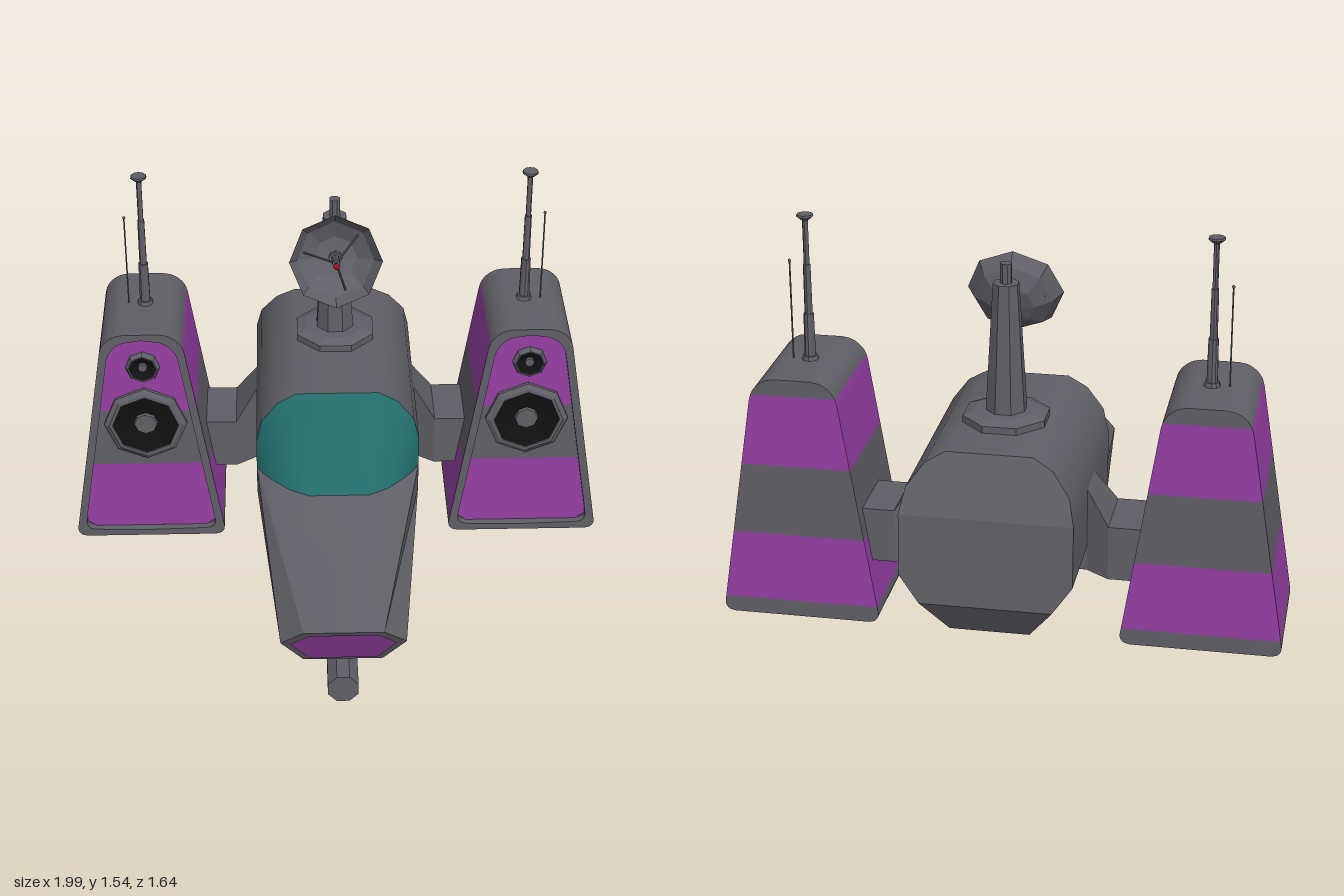
import * as THREE from 'three';
import { toCreasedNormals } from 'three/addons/utils/BufferGeometryUtils.js';

const paint = (color, extra = {}) => new THREE.MeshStandardMaterial({ color, ...extra });
const grey = paint(0x5f5f67);
const greyFlat = paint(0x5f5f67, { flatShading: true, side: THREE.DoubleSide });
const purple = paint(0x963fa4);
const teal = paint(0x226f6d);
const black = paint(0x111111, { flatShading: true, side: THREE.DoubleSide });
const red = paint(0xa01020);

function add(parent, name, geometry, material, x = 0, y = 0, z = 0) {
  const mesh = new THREE.Mesh(geometry, material);
  mesh.name = name;
  mesh.position.set(x, y, z);
  parent.add(mesh);
  return mesh;
}

// Surface through rows of [x, y, z] points
function patch(rows, crease = 0.6) {
  const n = rows[0].length, index = [];
  for (let i = 0; i < rows.length - 1; i++)
    for (let j = 0; j < n - 1; j++) {
      const a = i * n + j, d = a + n;
      index.push(a, a + 1, d + 1, a, d + 1, d);
    }
  const g = new THREE.BufferGeometry();
  g.setAttribute('position', new THREE.Float32BufferAttribute(rows.flat(2), 3));
  g.setIndex(index);
  return toCreasedNormals(g, crease);
}

// Straight rod between two points
function rod(parent, name, from, to, r0, r1, material, sides = 8) {
  const a = new THREE.Vector3(...from), b = new THREE.Vector3(...to);
  const mesh = add(parent, name, new THREE.CylinderGeometry(r1, r0, a.distanceTo(b), sides), material);
  mesh.position.copy(a).add(b).multiplyScalar(0.5);
  mesh.quaternion.setFromUnitVectors(new THREE.Vector3(0, 1, 0), b.sub(a).normalize());
  return mesh;
}

const flipX = (pts) => pts.map(([x, ...rest]) => [-x, ...rest]).reverse();

function createHull() {
  const hull = new THREE.Group();
  hull.name = 'hull';
  // Right half of the section, bottom to top: x, y, z of the rear edge
  const half = [[0.14, 0.19, -0.74], [0.23, 0.32, -0.82], [0.3, 0.42, -0.813], [0.3, 0.53, -0.807],
    [0.3, 0.64, -0.8], [0.28, 0.73, -0.766], [0.22, 0.81, -0.735], [0.15, 0.85, -0.72]];
  const ring = [...half, ...flipX(half), half[0]];
  add(hull, 'fuselage', patch([ring, ring.map(([x, y]) => [x, y, 0.02])]), grey);
  add(hull, 'rearCap', patch(half.map(([x, y, z]) => [[x, y, z], [-x, y, z]]), 0.2), grey);

  // Tapered nose
  const root = [[0.14, 0.19, 0.02], [0.3, 0.42, 0.02], [0.3, 0.53, 0.02]];
  const tip = [[0.14, 0.19, 0.72], [0.22, 0.32, 0.785], [0.14, 0.39, 0.82]];
  const around = (h) => [...flipX(h), ...h];
  add(hull, 'noseSides', patch([around(root), around(tip)], 0.2), grey);
  const face = (k, lift) => patch(tip.map(([x, y, z]) => {
    const yy = 0.295 + (y - 0.295) * k, zz = 0.72 + (yy - 0.19) * 0.5 + lift;
    return [[-x * k, yy, zz], [x * k, yy, zz]];
  }), 0.2);
  add(hull, 'noseCap', face(1, 0), grey);
  add(hull, 'nosePanel', face(0.85, 0.004), purple);

  // Canopy and the deck in front of it
  const sill = [[0.3, 0.53, 0.02], [0.28, 0.53, 0.06], [0.24, 0.53, 0.11], [0.18, 0.53, 0.17], [0.11, 0.53, 0.21]];
  const arch = half.slice(3).map(([x, y]) => [x, y, 0.02]);
  const full = (h) => [...h, ...flipX(h)];
  add(hull, 'canopy', patch([full(arch), full(sill)], 0.9), teal);
  add(hull, 'deck', patch([full(sill), full(sill).map(([x]) => [Math.sign(x) * 0.14, 0.39, 0.82])]), grey);
  return hull;
}

// Half width of the speaker cabinet at height y, inset by i, with rounded corners
function halfWidth(y, i = 0) {
  const bottom = 0.1 + i, top = 1.01 - i;
  if (y < bottom - 1e-6 || y > top + 1e-6) return 0;
  let w = 0.288 - 0.159 * (y - 0.1) - i;
  for (const [d, r] of [[y - top + 0.08, 0.08], [bottom + 0.04 - y, 0.04]])
    if (d > 0) w -= r - Math.sqrt(Math.max(0, r * r - d * d));
  return w;
}

// Slice of the cabinet between two heights, from edge functions
function slice(y0, y1, z0, z1, right, left) {
  const pts = [], n = 12;
  for (let k = 0; k <= n; k++) { const y = y0 + (y1 - y0) * k / n; pts.push(new THREE.Vector2(right(y), y)); }
  for (let k = n; k >= 0; k--) { const y = y0 + (y1 - y0) * k / n; pts.push(new THREE.Vector2(left(y), y)); }
  const g = new THREE.ExtrudeGeometry(new THREE.Shape(pts), { depth: z1 - z0, bevelEnabled: false });
  return toCreasedNormals(g.translate(0, 0, z0), 0.6);
}

function addSpeaker(parent, name, y, r) {
  const speaker = new THREE.Group();
  speaker.name = name;
  speaker.position.set(0, y, -0.167);
  speaker.rotation.x = Math.PI / 2;
  const lathe = (pts) => new THREE.LatheGeometry(pts.map(([a, b]) => new THREE.Vector2(a * r, b)), 8);
  add(speaker, 'speakerRing', lathe([[1, 0], [1, 0.015], [0.88, 0.027], [0.8, 0.027], [0.78, 0.012]]), greyFlat);
  add(speaker, 'speakerCone', lathe([[0.8, 0.022], [0.27, 0.005]]), black);
  add(speaker, 'speakerHub', new THREE.CylinderGeometry(0.27 * r, 0.3 * r, 0.016, 8), greyFlat, 0, 0.009, 0);
  parent.add(speaker);
}

function createPod(s) {
  const pod = new THREE.Group();
  pod.name = s > 0 ? 'leftPod' : 'rightPod';
  pod.position.x = s * 0.715;
  const inset = 0.03, w = (y) => halfWidth(y), wi = (y) => halfWidth(y, inset);

  // Banded cabinet with a raised front rim
  const bands = [[0.1, 0.16, grey], [0.16, 0.42, purple], [0.42, 0.685, grey], [0.685, 0.95, purple], [0.95, 1.01, grey]];
  for (const [y0, y1, mat] of bands) {
    add(pod, 'cabinetBand', slice(y0, y1, -0.585, -0.17, w, (y) => -w(y)), mat);
    for (const e of [-1, 1])
      add(pod, 'cabinetRim', slice(y0, y1, -0.17, -0.14, (y) => e * w(y), (y) => e * wi(y)), [grey, mat]);
  }
  for (const [y0, y1, mat] of [[0.13, 0.42, purple], [0.42, 0.66, grey], [0.66, 0.98, purple]])
    add(pod, 'frontPanel', slice(y0, y1, -0.171, -0.165, wi, (y) => -wi(y)), mat);
  addSpeaker(pod, 'woofer', 0.61, 0.155);
  addSpeaker(pod, 'tweeter', 0.86, 0.063);

  // Stepped antenna with a thin whip outside it
  const z = -0.37, x = -s * 0.008;
  for (const [y0, y1, r0, r1] of [[1.0, 1.025, 0.032, 0.026], [1.02, 1.18, 0.02, 0.018], [1.18, 1.36, 0.014, 0.013],
    [1.36, 1.525, 0.01, 0.01], [1.52, 1.535, 0.012, 0.03], [1.535, 1.542, 0.03, 0.028]])
    rod(pod, 'antenna', [x, y0, z], [x, y1, z], r0, r1, greyFlat, 10);
  rod(pod, 'whip', [s * 0.053, 1, z], [s * 0.053, 1.37, z], 0.003, 0.003, greyFlat, 6);
  add(pod, 'whipTip', new THREE.SphereGeometry(0.006, 8, 6), grey, s * 0.053, 1.37, z);
  return pod;
}

function createArm(s) {
  // Strut that flares upward where it meets the hull
  const ring = (x, top, bottom, d) => [[x, top, -d], [x, top, d], [x, bottom, d], [x, bottom, -d], [x, top, -d]];
  const rows = [ring(0.2, 0.64, 0.33, 0.08), ring(0.3, 0.64, 0.33, 0.08), ring(0.38, 0.52, 0.32, 0.12), ring(0.5, 0.52, 0.32, 0.12)];
  const arm = new THREE.Mesh(patch(rows, 0.2), grey);
  arm.name = s > 0 ? 'leftArm' : 'rightArm';
  arm.position.z = -0.41;
  arm.rotation.y = s > 0 ? 0 : Math.PI;
  return arm;
}

function createDish() {
  const unit = new THREE.Group();
  unit.name = 'dishUnit';
  // Stepped base and tapered mast
  for (const [y0, y1, r0, r1] of [[0.84, 0.875, 0.155, 0.155], [0.875, 0.89, 0.155, 0.115], [0.88, 1.35, 0.074, 0.046], [1.34, 1.42, 0.021, 0.021]])
    rod(unit, 'mast', [0, y0, -0.405], [0, y1, -0.405], r0, r1, greyFlat).rotation.y = Math.PI / 8;
  rod(unit, 'hinge', [0, 1.215, -0.40], [0, 1.228, -0.30], 0.025, 0.025, greyFlat);

  // Tilted dish with its feed
  const dish = new THREE.Group();
  dish.name = 'dish';
  dish.position.set(0, 1.26, -0.22);
  dish.rotation.x = Math.PI / 2 - 0.36;
  const bowl = [[0, -0.1], [0.08, -0.09], [0.14, -0.05], [0.17, 0]].map(([r, y]) => new THREE.Vector2(r, y));
  add(dish, 'bowl', new THREE.LatheGeometry(bowl, 8), greyFlat);
  rod(dish, 'feed', [0, -0.1, 0], [0, 0.045, 0], 0.015, 0.015, greyFlat);
  rod(dish, 'feedTip', [0, 0.045, 0], [0, 0.1, 0], 0.008, 0.005, greyFlat);
  add(dish, 'feedBulb', new THREE.SphereGeometry(0.012, 10, 8), red, 0, 0.1, 0);
  for (let k = 0; k < 3; k++) {
    const a = k * Math.PI * 2 / 3 + 0.3;
    rod(dish, 'feedStrut', [Math.sin(a) * 0.12, -0.06, Math.cos(a) * 0.12], [0, 0.03, 0], 0.004, 0.004, greyFlat, 6);
  }
  unit.add(dish);
  return unit;
}

function createCannon() {
  const cannon = new THREE.Group();
  cannon.name = 'cannon';
  for (const [name, z0, z1, r] of [['barrel', -0.09, 0.75, 0.059], ['collar', -0.04, 0.12, 0.078]]) {
    const g = new THREE.CylinderGeometry(r, r, z1 - z0, 8).rotateY(Math.PI / 8).rotateX(Math.PI / 2);
    add(cannon, name, g, greyFlat, 0, 0.073, (z0 + z1) / 2);
  }
  add(cannon, 'cannonMount', new THREE.BoxGeometry(0.06, 0.07, 0.16), grey, 0, 0.165, 0.04);
  return cannon;
}

export function createModel() {
  const model = new THREE.Group();
  model.name = 'speakerShip';
  model.add(createHull(), createDish(), createCannon());
  for (const s of [1, -1]) model.add(createPod(s), createArm(s));
  return model;
}
